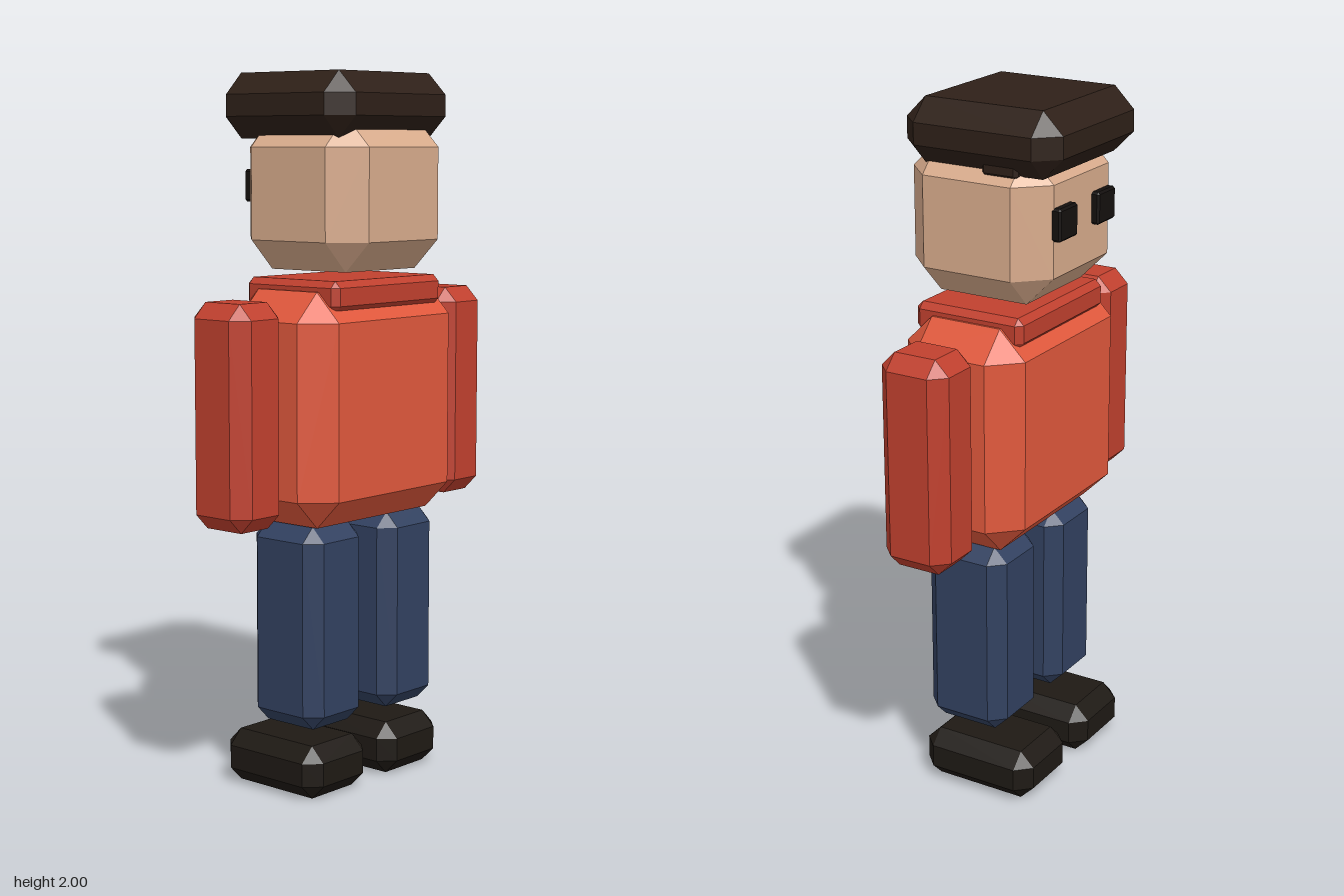
import * as THREE from 'three';
import { ConvexGeometry } from 'three/addons/geometries/ConvexGeometry.js';

// Box with chamfered edges and corners: hull of three boxes, each full-size along one axis.
function chamferBox([x0, x1], [y0, y1], [z0, z1], bevel) {
  const half = [(x1 - x0) / 2, (y1 - y0) / 2, (z1 - z0) / 2];
  const points = [];
  for (let axis = 0; axis < 3; axis++) {
    const h = half.map((v, i) => (i === axis ? v : v - bevel));
    for (const sx of [-1, 1]) for (const sy of [-1, 1]) for (const sz of [-1, 1]) {
      points.push(new THREE.Vector3(sx * h[0], sy * h[1], sz * h[2]));
    }
  }
  const geometry = new ConvexGeometry(points);
  geometry.translate((x0 + x1) / 2, (y0 + y1) / 2, (z0 + z1) / 2);
  return geometry;
}

const paint = (color) => new THREE.MeshStandardMaterial({ color, flatShading: true });

export function createModel() {
  const model = new THREE.Group();
  model.name = 'blockFigure';

  const skin = paint(0xd8ab8c);
  const hair = paint(0x2e2018);
  const shirt = paint(0xe0583c);
  const sleeve = paint(0xc0402e);
  const denim = paint(0x324160);
  const leather = paint(0x1e1914);
  const black = paint(0x14100e);

  const add = (name, material, x, y, z, bevel) => {
    const mesh = new THREE.Mesh(chamferBox(x, y, z, bevel), material);
    mesh.name = name;
    model.add(mesh);
  };
  // Mirrored pair; x is given for the +x side.
  const addPair = (name, material, x, y, z, bevel) => {
    add(name + 'Left', material, x, y, z, bevel);
    add(name + 'Right', material, [-x[1], -x[0]], y, z, bevel);
  };

  // Head, hair and eyes; the face looks towards -z
  add('head', skin, [-0.23, 0.23], [1.46, 1.88], [-0.193, 0.245], 0.083);
  add('hair', hair, [-0.25, 0.25], [1.82, 2.0], [-0.245, 0.235], 0.06);
  add('hairTuft', hair, [0.12, 0.215], [1.813, 1.87], [-0.12, -0.01], 0.01);
  addPair('eye', black, [0.055, 0.15], [1.645, 1.735], [-0.215, -0.165], 0.006);

  // Shirt
  add('torso', shirt, [-0.315, 0.315], [0.765, 1.41], [-0.16, 0.216], 0.08);
  add('collar', sleeve, [-0.228, 0.228], [1.355, 1.44], [-0.14, 0.198], 0.018);
  addPair('arm', sleeve, [0.338, 0.525], [0.78, 1.39], [-0.08, 0.13], 0.042);

  // Legs and shoes
  addPair('leg', denim, [0.043, 0.271], [0.193, 0.765], [-0.098, 0.156], 0.042);
  addPair('shoe', leather, [0.033, 0.285], [0, 0.15], [-0.193, 0.165], 0.042);

  return model;
}
